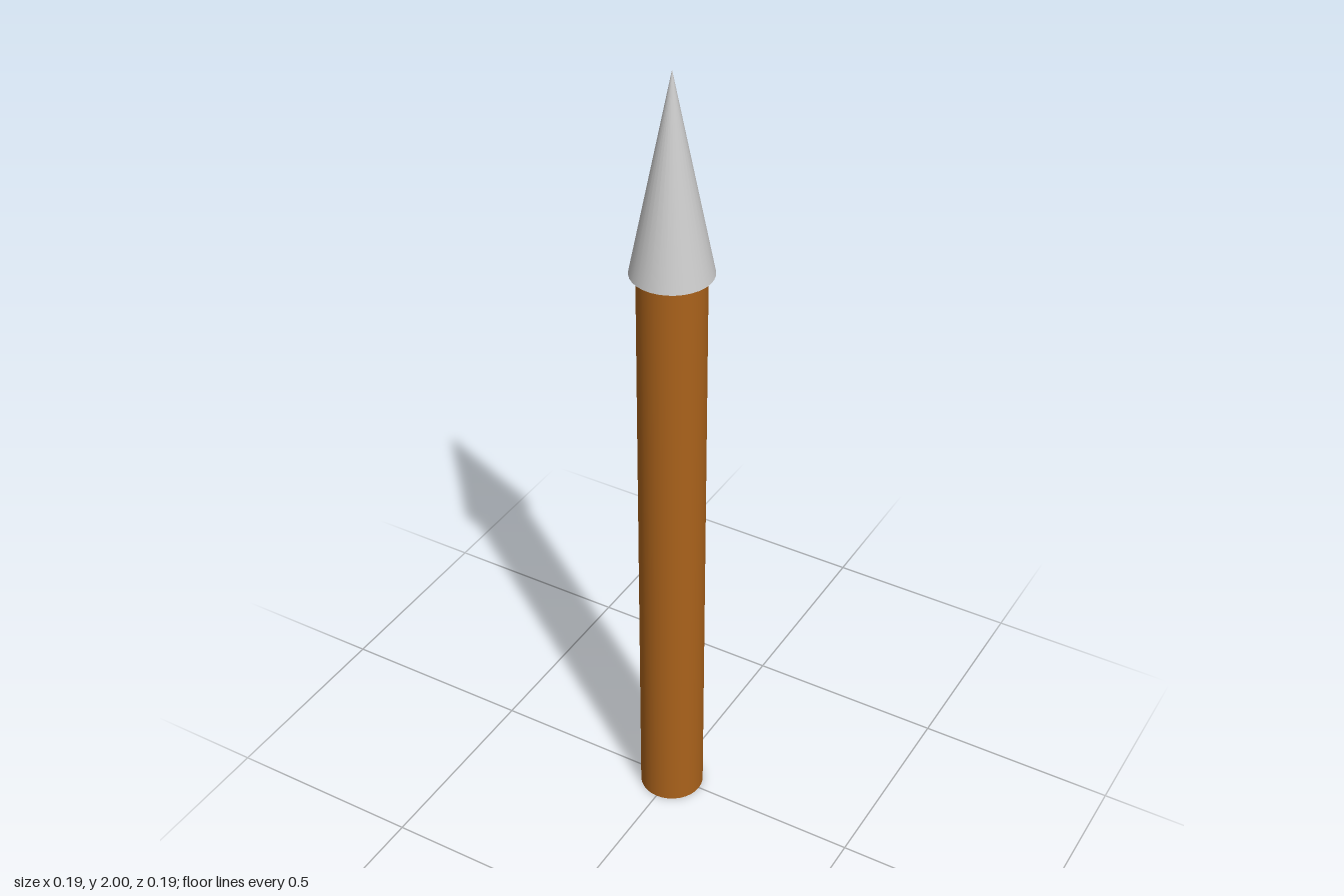
import * as THREE from 'three';

const SEGMENTS = 32;
const SHAFT_RADIUS = 0.08, SHAFT_LENGTH = 1.6;
const TIP_RADIUS = 0.096, TIP_HEIGHT = 0.48, TOTAL_HEIGHT = 2;

export function createModel() {
  const model = new THREE.Group();
  model.name = 'woodenStake';

  const addPart = (name, geometry, color, centreY) => {
    const mesh = new THREE.Mesh(geometry, new THREE.MeshStandardMaterial({ color }));
    mesh.name = name;
    mesh.position.y = centreY;
    model.add(mesh);
  };

  // Round wooden shaft, its top end seated inside the tip
  addPart('shaft',
    new THREE.CylinderGeometry(SHAFT_RADIUS, SHAFT_RADIUS, SHAFT_LENGTH, SEGMENTS),
    0xaa621b, SHAFT_LENGTH / 2);

  // Conical tip, slightly wider than the shaft, with a closed base
  addPart('tip',
    new THREE.ConeGeometry(TIP_RADIUS, TIP_HEIGHT, SEGMENTS),
    0xcccccc, TOTAL_HEIGHT - TIP_HEIGHT / 2);

  return model;
}
